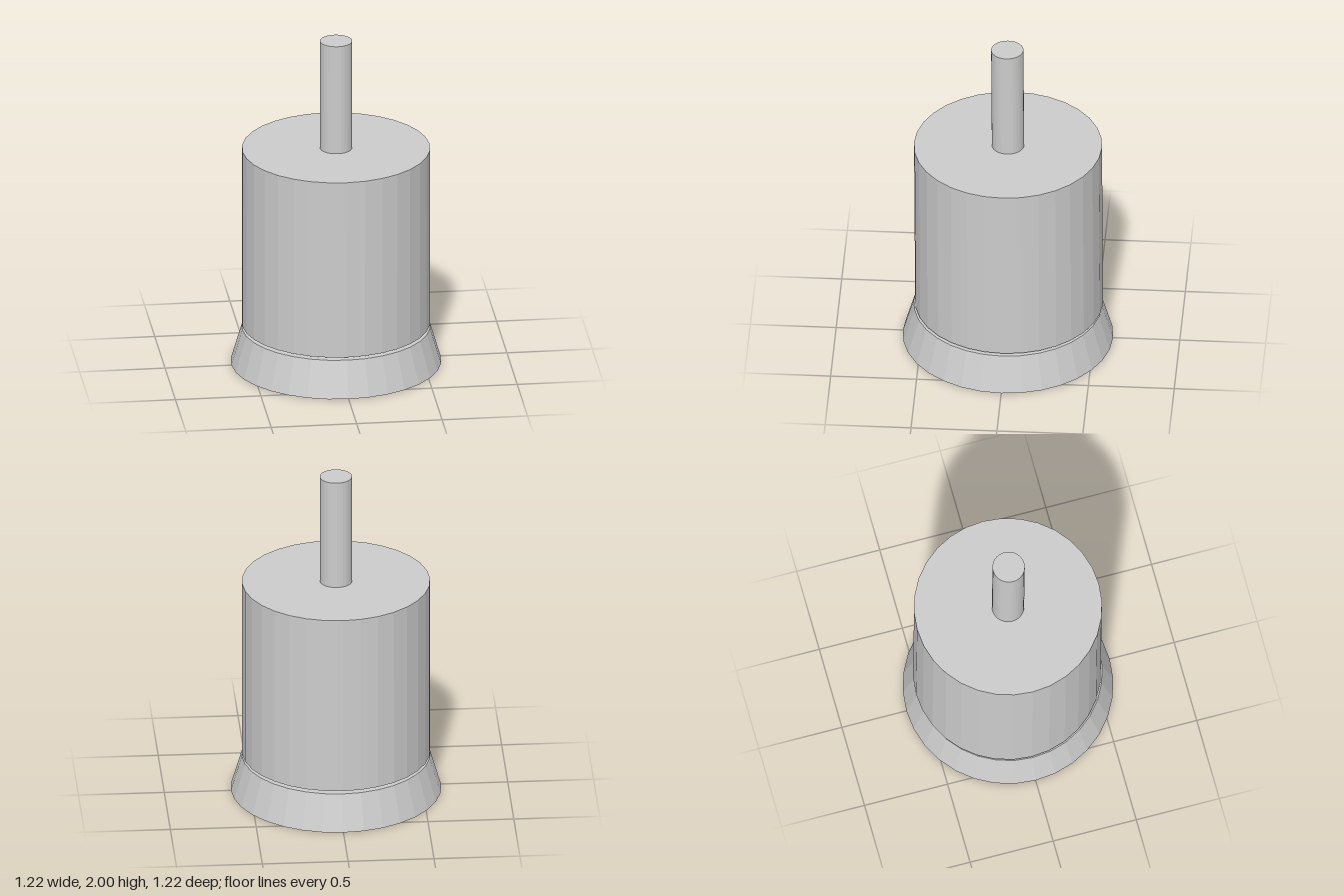
import * as THREE from 'three';

const SIDES = 32;

export function createModel() {
  const model = new THREE.Group();
  model.name = 'stampWeight';
  const material = new THREE.MeshStandardMaterial({ color: 0xcccccc, flatShading: true });

  // Upright round part between two heights
  function round(name, topRadius, bottomRadius, y0, y1, parent) {
    const mesh = new THREE.Mesh(
      new THREE.CylinderGeometry(topRadius, bottomRadius, y1 - y0, SIDES), material);
    mesh.name = name;
    mesh.position.y = (y0 + y1) / 2;
    parent.add(mesh);
  }

  // Flared foot
  round('base', 0.548, 0.612, 0, 0.218, model);

  // Body and rod lean forward very slightly, leaving a thin gap over the base
  const upper = new THREE.Group();
  upper.name = 'upperAssembly';
  upper.rotation.x = 0.006;
  upper.position.z = -0.008;
  round('body', 0.547, 0.547, 0.236, 1.33, upper);
  round('rod', 0.094, 0.094, 0.1, 2, upper);
  model.add(upper);

  return model;
}
